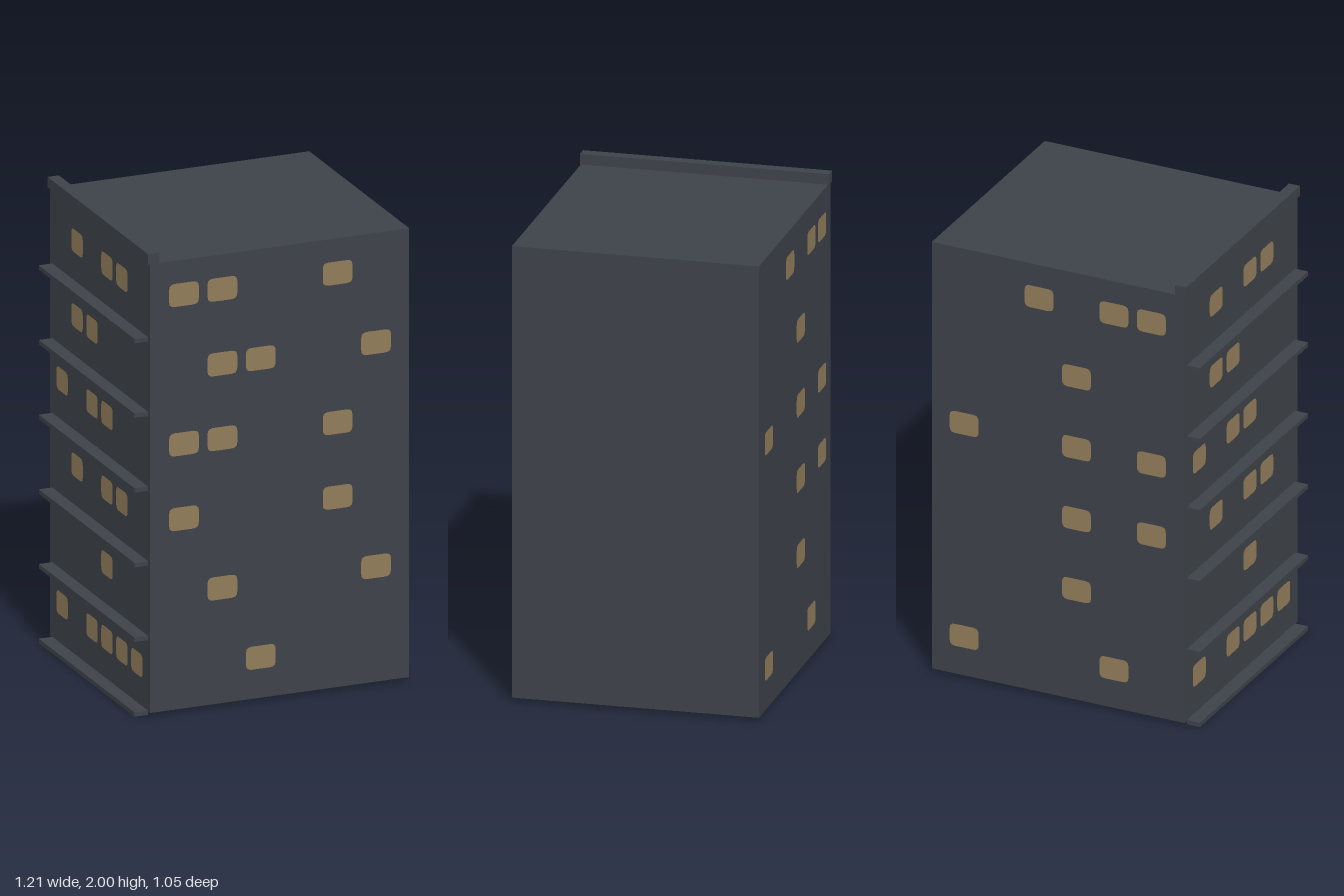
import * as THREE from 'three';

const wallMat = new THREE.MeshStandardMaterial({ color: 0x3d4249, side: THREE.DoubleSide });
wallMat.name = 'slate wall';
const windowMat = new THREE.MeshStandardMaterial({ color: 0x917c5a });
windowMat.name = 'tan window';

const X0 = -0.545, X1 = 0.605, Z = 0.522, Y0 = 0.015, Y1 = 1.955;
const FLOOR = 0.3228;

function box(name, x0, x1, y0, y1, z) {
  const mesh = new THREE.Mesh(new THREE.BoxGeometry(x1 - x0, y1 - y0, 2 * z), wallMat);
  mesh.position.set((x0 + x1) / 2, (y0 + y1) / 2, 0);
  mesh.name = name;
  return mesh;
}

// Flat rounded pane
function paneGeometry(w, h, r) {
  const a = w / 2, b = h / 2;
  const s = new THREE.Shape();
  s.moveTo(-a + r, -b);
  s.lineTo(a - r, -b).quadraticCurveTo(a, -b, a, -b + r);
  s.lineTo(a, b - r).quadraticCurveTo(a, b, a - r, b);
  s.lineTo(-a + r, b).quadraticCurveTo(-a, b, -a, b - r);
  s.lineTo(-a, -b + r).quadraticCurveTo(-a, -b, -a + r, -b);
  return new THREE.ShapeGeometry(s, 3);
}

// Lit columns per floor, ground floor first
const FRONT = [[2], [1, 5], [0, 4], [0, 1, 4], [1, 2, 5], [0, 1, 4]];
const BACK = [[1, 5], [2], [0, 2], [0, 2, 5], [2], [0, 1, 3]];
const LEFT = [[0, 2, 3, 4, 5], [3], [1, 3, 4], [0, 2, 3], [1, 2], [1, 3, 4]];

function windows(name, floors, geometry, turn, place) {
  const group = new THREE.Group();
  group.name = name;
  floors.forEach((columns, floor) => columns.forEach((column) => {
    const pane = new THREE.Mesh(geometry, windowMat);
    pane.name = 'window';
    pane.rotation.y = turn;
    const [x, z] = place(column);
    pane.position.set(x, 0.192 + floor * FLOOR, z);
    group.add(pane);
  }));
  return group;
}

export function createModel() {
  const model = new THREE.Group();
  model.name = 'apartmentBlock';

  // Hollow shell with an open underside
  const shell = box('buildingShell', X0, X1, Y0, Y1, Z);
  const index = Array.from(shell.geometry.index.array);
  index.splice(18, 6);
  shell.geometry.setIndex(index);
  shell.geometry.clearGroups();
  model.add(shell);

  // Roof parapet along one side
  model.add(box('parapet', -0.555, -0.505, Y1, 2, 0.526));

  // Ledge at every floor
  for (let i = 0; i < 6; i++) {
    const y = i * FLOOR;
    model.add(box('floorLedge', -0.605, X0, y, y + 0.019, 0.5));
  }

  // Windows on three sides
  const wide = paneGeometry(0.132, 0.1, 0.024);
  const narrow = paneGeometry(0.12, 0.1, 0.024);
  const columnX = (c) => -0.396 + c * 0.1705;
  const gap = 0.003;
  model.add(windows('frontWindows', FRONT, wide, 0, (c) => [columnX(c), Z + gap]));
  model.add(windows('backWindows', BACK, wide, Math.PI, (c) => [columnX(c), -Z - gap]));
  model.add(windows('sideWindows', LEFT, narrow, -Math.PI / 2, (c) => [X0 - gap, -0.39 + c * 0.156]));

  return model;
}
